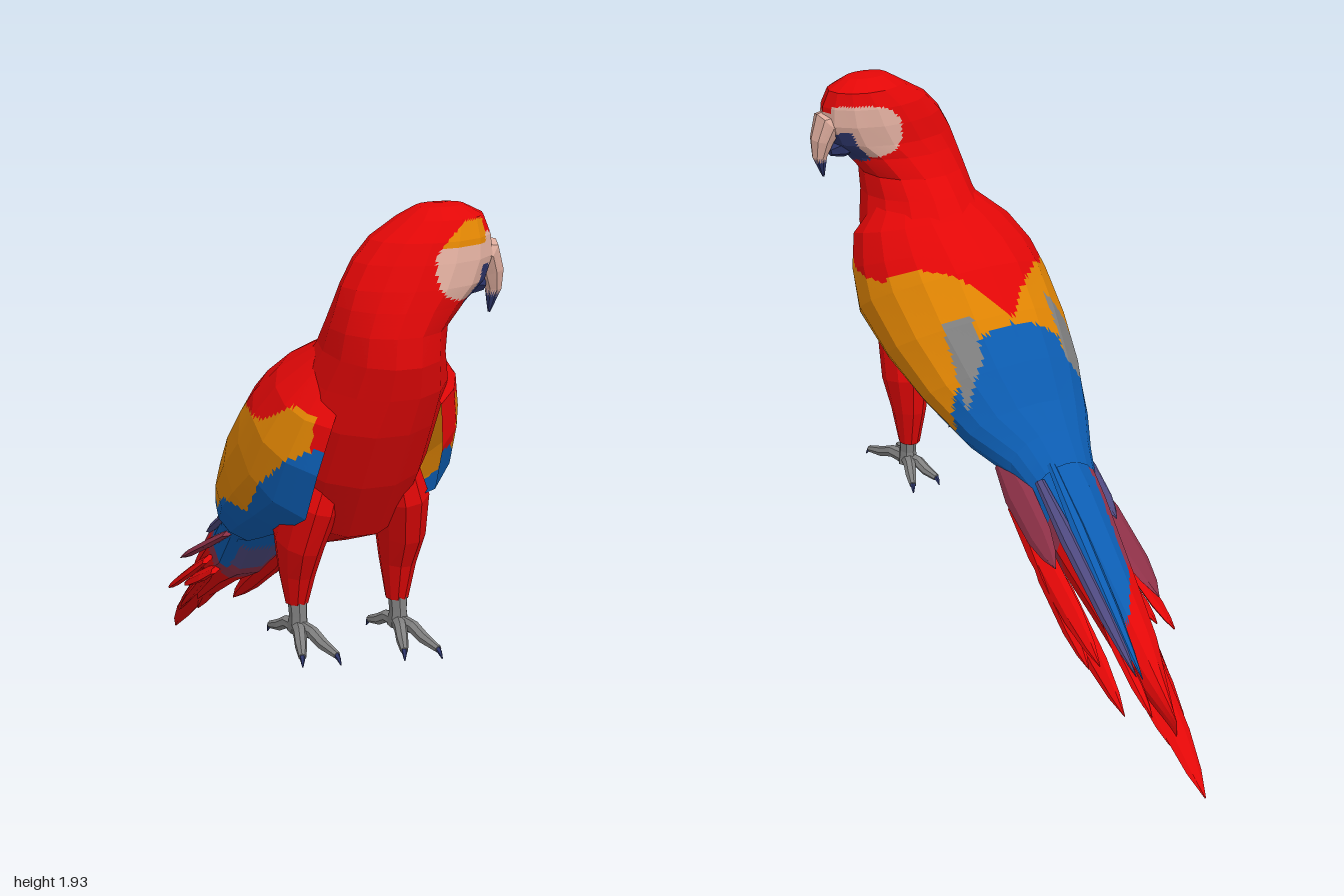
import * as THREE from 'three';

const V = (x, y, z) => new THREE.Vector3(x, y, z);
const paint = (name, color) => {
  const m = new THREE.MeshStandardMaterial({ color, flatShading: true, side: THREE.DoubleSide });
  m.name = name;
  return m;
};
const mats = [
  paint('scarlet', 0xe20707), paint('blue', 0x0c5cb0), paint('orange', 0xdf8403),
  paint('maroon', 0x8e3148), paint('skin', 0xdcab9c), paint('grey', 0x808080),
  paint('navy', 0x2c3468), paint('violet', 0x4f4a80),
];
const [RED, BLUE, ORANGE, MAROON, SKIN, GREY, NAVY, VIOLET] = mats.keys();

// Skins a list of point rings; each facet is split k x k so the colour rule can draw patches.
function skin(name, rings, rule, k = 1, closed = true) {
  const buckets = mats.map(() => []);
  const n = rings[0].length;
  const mid = V(0, 0, 0);
  rings.flat().forEach((p) => mid.addScaledVector(p, 1 / (n * rings.length)));
  const tris = [];
  let volume = 0;
  const tri = (a, b, c) => {
    const cross = b.clone().sub(a).cross(c.clone().sub(a));
    if (cross.length() < 1e-9) return;
    volume += cross.dot(a.clone().sub(mid));
    tris.push([a, b, c]);
  };
  for (let r = 0; r < rings.length - 1; r++) {
    for (let i = 0; i < (closed ? n : n - 1); i++) {
      const j = (i + 1) % n;
      const at = (u, v) => rings[r][i].clone().lerp(rings[r][j], u / k)
        .lerp(rings[r + 1][i].clone().lerp(rings[r + 1][j], u / k), v / k);
      for (let u = 0; u < k; u++) for (let v = 0; v < k; v++) {
        const a = at(u, v), b = at(u + 1, v), c = at(u + 1, v + 1), d = at(u, v + 1);
        tri(a, b, c);
        tri(a, c, d);
      }
    }
  }
  for (const [a, b, c] of tris) {
    const m = a.clone().add(b).add(c).divideScalar(3);
    const id = typeof rule === 'number' ? rule : rule(m.x, m.y, m.z);
    for (const p of volume < 0 ? [a, c, b] : [a, b, c]) buckets[id].push(p);
  }
  const geo = new THREE.BufferGeometry().setFromPoints(buckets.flat());
  let start = 0;
  const used = [];
  buckets.forEach((b, id) => {
    if (!b.length) return;
    geo.addGroup(start, b.length, used.length);
    used.push(mats[id]);
    start += b.length;
  });
  geo.computeVertexNormals();
  const mesh = new THREE.Mesh(geo, used.length > 1 ? used : used[0]);
  mesh.name = name;
  return mesh;
}

// Oval ring spanning a back point and a front point in the z-y plane.
const oval = ([cx, rx, zb, yb, zf, yf], n = 14) => Array.from({ length: n }, (_, i) => {
  const a = (i / n) * Math.PI * 2, s = (1 + Math.sin(a)) / 2;
  return V(cx + rx * Math.cos(a), yb + (yf - yb) * s, zb + (zf - zb) * s);
});

// Tapered sweep along points [x, y, z, halfWidth, halfThickness], closed at both ends.
function sweep(name, pts, rule, side = V(1, 0, 0), n = 7, k = 1) {
  const c = pts.map((p) => V(p[0], p[1], p[2]));
  const rings = pts.map((p, i) => {
    const t = c[Math.min(i + 1, c.length - 1)].clone().sub(c[Math.max(i - 1, 0)]).normalize();
    const w = side.clone().addScaledVector(t, -side.dot(t)).normalize();
    const h = t.clone().cross(w);
    return Array.from({ length: n }, (_, j) => {
      const a = (j / n) * Math.PI * 2;
      return c[i].clone().addScaledVector(w, p[3] * Math.cos(a)).addScaledVector(h, p[4] * Math.sin(a));
    });
  });
  const cap = (p) => Array(n).fill(p);
  return skin(name, [cap(c[0]), ...rings, cap(c[c.length - 1])], rule, k);
}

// Bare face, cheek patches, forehead spot and rump
function bodyColour(x, y, z) {
  const inside = (cx, cy, rx, ry, e) => Math.abs((x - cx) / rx) ** e + Math.abs((y - cy) / ry) ** e < 1;
  if (y > 1.6) {
    if (z > 0.835 && x > 0.13 && x < 0.285 && y > 1.81 && y < Math.min(1.88, 1.73 + 0.7 * x)) return ORANGE;
    if (Math.abs(z - 0.815) < 0.09 && inside(0.265, 1.685, 0.085, 0.065, 2)) return NAVY;
    const forehead = Math.abs(z - 0.81) < 0.04 && y > 1.815;
    if (!forehead && inside(0.25, 1.748, 0.15, 0.095, 2.6)) return SKIN;
  }
  if (z < 0.12) return BLUE;
  if (z < 0.42 && y < 0.815) return z < 0.22 ? GREY : ORANGE;
  return RED;
}

// Scarlet shoulders, orange band, blue flight feathers
function wingColour(x, y, z) {
  const u = Math.abs(x + 0.06);
  const shoulder = Math.min(1.28, 1.16 + 0.6 * u) + (z > 0.68 ? Math.min(0.06, (z - 0.68) * 0.6) : 0);
  if (z > 0.21 + u * 0.95 && y > shoulder) return RED;
  if (z > 0.845 && y > 1.22) return RED;
  if (z > 0.7 && x > 0 && x < 0.235 && y > 1.18) return RED;
  const patch = x > 0 ? x > 0.075 && x < 0.165 && z > 0.12 + (0.165 - x) * 0.5 && z < 0.29 - (0.165 - x) * 0.5
    : x < -0.235 && x > -0.315 && z > 0.15 && z < 0.3;
  if (y > 0.95 && patch) return GREY;
  const low = 0.94 + Math.max(0, z - 0.52) * 0.85 - Math.max(0, 0.35 - z) * 0.55;
  return y > low && z < 0.85 && z > (u > 0.17 ? 0.17 : 0.2) ? ORANGE : BLUE;
}

// Blue upper stripe narrowing backwards, darker coverts below
function tailColour(x, y, z) {
  const upper = y > 0.82 + 0.75 * z;
  if (upper && z < -0.12) {
    if (x > 0.015) return MAROON;
    const edge = -0.17 - Math.min(0, z + 0.15) * 0.16 - Math.min(0, z + 0.46) * 0.5;
    if (x > edge && z > -0.58) return BLUE;
    return z > -0.42 ? MAROON : RED;
  }
  if (y < 0.72 + 0.95 * z && x > -0.15 && x < 0.01 && z < -0.05 && z > -0.28) return z > -0.15 ? VIOLET : MAROON;
  if (z > -0.19) return BLUE;
  return z > -0.27 ? MAROON : RED;
}

function foot(name, x, y) {
  const g = new THREE.Group();
  g.name = name;
  g.add(sweep('shank', [[x, y + 0.14, 0.61, 0.033, 0.033], [x, y + 0.06, 0.62, 0.028, 0.032],
    [x, y + 0.01, 0.62, 0.034, 0.04]], GREY));
  // two toes forward, two back, each ending in a dark claw
  for (const [dx, dz] of [[-0.045, 0.15], [0.045, 0.17], [-0.04, -0.11], [0.045, -0.12]]) {
    const p = (f, dy, r) => [x + dx * f, y + dy, 0.62 + dz * f, r, r];
    g.add(sweep('toe', [p(0, 0.025, 0.026), p(0.45, 0.025, 0.021), p(0.75, 0.005, 0.019), p(1.15, -0.008, 0.012)], GREY));
    g.add(sweep('claw', [p(1.13, -0.007, 0.01), p(1.2, -0.016, 0.007), p(1.27, -0.033, 0.002)], NAVY, V(1, 0, 0), 5));
  }
  return g;
}

export function createModel() {
  const model = new THREE.Group();
  model.name = 'parrot';

  // Head, neck, breast and belly: [x, halfWidth, backZ, backY, frontZ, frontY]
  const core = [
    [0.17, 0.001, 0.81, 1.925, 0.811, 1.925], [0.17, 0.075, 0.76, 1.918, 0.85, 1.918],
    [0.175, 0.135, 0.705, 1.885, 0.892, 1.885], [0.14, 0.19, 0.685, 1.83, 0.93, 1.83],
    [0.115, 0.22, 0.677, 1.77, 0.95, 1.77], [0.08, 0.225, 0.675, 1.7, 0.968, 1.7],
    [0.04, 0.2, 0.66, 1.65, 0.98, 1.64], [0.005, 0.18, 0.62, 1.58, 0.992, 1.57],
    [0, 0.185, 0.56, 1.52, 1, 1.48], [0, 0.215, 0.48, 1.43, 0.975, 1.38],
    [-0.02, 0.235, 0.4, 1.35, 0.935, 1.26], [-0.03, 0.24, 0.33, 1.24, 0.85, 1.08],
    [-0.03, 0.215, 0.22, 1.08, 0.73, 0.89], [-0.03, 0.17, 0.14, 0.95, 0.5, 0.8],
    [-0.04, 0.13, 0.06, 0.86, 0.27, 0.735], [-0.06, 0.1, 0, 0.8, 0.08, 0.7],
    [-0.06, 0.001, -0.02, 0.75, -0.019, 0.75],
  ];
  model.add(skin('headAndBody', core.map((r) => oval(r)), bodyColour, 7));

  // Folded wings and back, one arched shell: [x, halfWidth, backZ, backY, edgeZ, edgeY]
  const arch = [
    [-0.01, 0.175, 0.64, 1.53, 0.82, 1.44], [-0.02, 0.28, 0.5, 1.465, 0.88, 1.31],
    [-0.035, 0.322, 0.41, 1.405, 0.87, 1.17], [-0.04, 0.336, 0.33, 1.35, 0.81, 1.02],
    [-0.045, 0.325, 0.22, 1.22, 0.61, 0.92], [-0.055, 0.29, 0.12, 1.08, 0.4, 0.83],
    [-0.065, 0.23, 0.04, 0.96, 0.18, 0.74], [-0.08, 0.155, -0.03, 0.88, 0, 0.68],
    [-0.08, 0.12, -0.12, 0.8, -0.1, 0.62],
  ].map(([cx, rx, zb, yb, ze, ye]) => Array.from({ length: 15 }, (_, i) => {
    const a = -0.9 + (i / 14) * (Math.PI + 1.8);
    const s = (Math.sin(a) + 0.783) / 1.783, dx = rx * Math.cos(a);
    return V(cx + dx, ye + (yb - ye) * s + 0.12 * dx * (1 - s), ze + (zb - ze) * s);
  }));
  model.add(skin('wingsAndBack', arch, wingColour, 8, false));

  // Tail core
  const tail = [
    [-0.08, 0.14, 0.0, 0.87, 0.02, 0.68], [-0.08, 0.125, -0.2, 0.745, -0.18, 0.47],
    [-0.07, 0.095, -0.44, 0.565, -0.42, 0.36], [-0.065, 0.07, -0.62, 0.42, -0.62, 0.25],
    [-0.065, 0.001, -0.84, 0.2, -0.84, 0.14],
  ];
  model.add(skin('tail', tail.map((r) => oval(r, 10)), tailColour, 7));

  // Tail feathers, outer ones drooping: [from, to, halfWidth, colour, droop]
  const feathers = [
    [[-0.19, 0.79, 0.03], [-0.2, 0.62, -0.24], 0.045, VIOLET, 0.4],
    [[-0.195, 0.7, 0.0], [-0.205, 0.45, -0.5], 0.075, MAROON, 0.4],
    [[-0.2, 0.52, -0.25], [-0.25, 0.33, -0.53], 0.045, RED, 0.7],
    [[-0.17, 0.48, -0.25], [-0.2, 0.35, -0.5], 0.045, RED, 0.7],
    [[-0.13, 0.5, -0.3], [-0.16, 0.2, -0.67], 0.045, RED, 0.6],
    [[-0.12, 0.5, -0.35], [-0.12, 0.13, -0.82], 0.045, RED, 0.4],
    [[-0.09, 0.48, -0.4], [-0.075, 0, -1], 0.055, RED, 0],
    [[-0.07, 0.46, -0.4], [-0.04, 0.12, -0.84], 0.045, RED, 0],
    [[-0.03, 0.8, -0.1], [0.01, 0.33, -0.75], 0.026, BLUE, 0],
    [[0.01, 0.43, -0.52], [0.035, 0.25, -0.85], 0.025, RED, 0],
    [[0.025, 0.76, -0.12], [0.028, 0.34, -0.74], 0.028, VIOLET, -0.5],
    [[0.07, 0.77, 0.05], [0.085, 0.55, -0.33], 0.055, MAROON, -1.4],
    [[0.065, 0.64, -0.02], [0.095, 0.34, -0.63], 0.042, RED, -0.9],
    [[0.06, 0.56, -0.16], [0.055, 0.19, -0.72], 0.04, RED, -0.9],
    [[0.08, 0.58, -0.16], [0.1, 0.3, -0.57], 0.035, RED, -0.9],
  ];
  feathers.forEach(([a, b, w, id, droop]) => {
    const at = (f, ww) => [...a.map((v, i) => v + (b[i] - v) * f), w * ww, 0.014 * ww + 0.002];
    model.add(sweep('tailFeather', [at(0, 0.6), at(0.3, 1), at(0.7, 0.85), at(0.88, 0.5), at(1, 0.04)],
      id, V(1, droop, 0), 6));
  });

  // Hooked upper beak with dark tip, and lower beak
  model.add(sweep('upperBeak', [[0.27, 1.765, 0.815, 0.075, 0.055], [0.315, 1.765, 0.815, 0.06, 0.052],
    [0.335, 1.71, 0.815, 0.045, 0.04], [0.344, 1.655, 0.815, 0.028, 0.026], [0.332, 1.583, 0.815, 0.004, 0.004]],
  (x, y) => (y < 1.645 ? NAVY : SKIN), V(0, 0, 1), 8, 3));
  model.add(sweep('lowerBeak', [[0.22, 1.7, 0.815, 0.06, 0.045], [0.27, 1.68, 0.815, 0.048, 0.04],
    [0.31, 1.67, 0.815, 0.025, 0.02]], NAVY, V(0, 0, 1)));

  // Thighs and feet
  for (const [name, x, y] of [['left', 0.135, 0.535], ['right', -0.2, 0.56]]) {
    model.add(sweep(name + 'Thigh', [[x * 0.6, 1.16, 0.66, 0.06, 0.1], [x * 0.88, 1.0, 0.66, 0.085, 0.115],
      [x, 0.87, 0.62, 0.075, 0.11], [x, 0.76, 0.605, 0.056, 0.075], [x, y + 0.1, 0.605, 0.036, 0.04]], RED, V(1, 0, 0), 10));
    model.add(foot(name + 'Foot', x, y));
  }
  return model;
}
